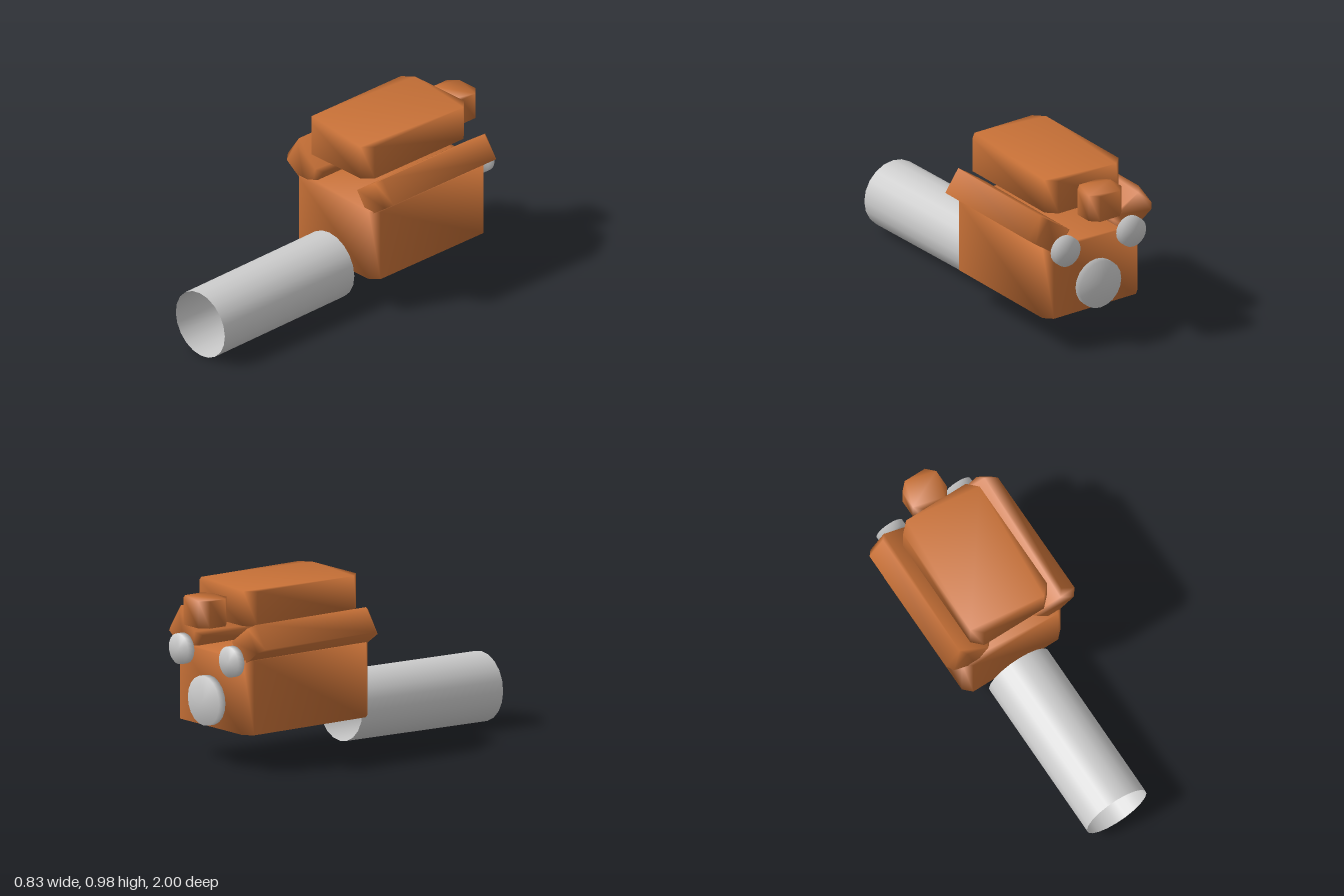
import * as THREE from 'three';
import { mergeVertices } from 'three/addons/utils/BufferGeometryUtils.js';

const paint = new THREE.MeshStandardMaterial({ color: 0xc87137 });
const metal = new THREE.MeshStandardMaterial({ color: 0xcccccc });
const openMetal = new THREE.MeshStandardMaterial({ color: 0xcccccc, side: THREE.DoubleSide });

// Weld all corners so the shading flows softly across every edge
function soften(geometry) {
  geometry.deleteAttribute('normal');
  geometry.deleteAttribute('uv');
  const welded = mergeVertices(geometry, 1e-4);
  welded.computeVertexNormals();
  return welded;
}

// Box centred on the origin with its four upright edges cut off
function chamferedBox(w, h, d, c) {
  const x = w / 2, z = d / 2;
  const outline = new THREE.Shape([
    [x - c, -z], [x, c - z], [x, z - c], [x - c, z],
    [c - x, z], [-x, z - c], [-x, c - z], [c - x, -z],
  ].map(([a, b]) => new THREE.Vector2(a, b)));
  const g = new THREE.ExtrudeGeometry(outline, { depth: h, bevelEnabled: false });
  g.translate(0, 0, -h / 2).rotateX(-Math.PI / 2);
  return soften(g);
}

// Thin round plate facing the back
function disc(radius) {
  return soften(new THREE.CylinderGeometry(radius, radius, 0.043, 20).rotateX(Math.PI / 2));
}

export function createModel() {
  const model = new THREE.Group();
  model.name = 'engine';
  const add = (name, geometry, material, x, y, z) => {
    const mesh = new THREE.Mesh(geometry, material);
    mesh.name = name;
    mesh.position.set(x, y, z);
    model.add(mesh);
    return mesh;
  };

  // Main body and the parts above it
  add('engineBlock', chamferedBox(0.64, 0.413, 0.86, 0.045), paint, 0, 0.418, -0.43);
  add('intakeHousing', chamferedBox(0.496, 0.193, 0.775, 0.055), paint, 0, 0.889, -0.403);
  add('rearIntakeBox', chamferedBox(0.22, 0.15, 0.195, 0.045), paint, 0, 0.861, -0.9025);

  // Slanted valve covers with a pulley behind each
  for (const [side, s] of [['left', 1], ['right', -1]]) {
    const cover = add(side + 'ValveCover', chamferedBox(0.236, 0.151, 0.83, 0.035),
      paint, s * 0.276, 0.695, -0.432);
    cover.rotation.z = s * THREE.MathUtils.degToRad(35);
    add(side + 'Pulley', disc(0.085), metal, s * 0.22, 0.614, -0.892);
  }
  add('crankPulley', disc(0.138), metal, 0, 0.363, -0.892);

  // Open gearbox tube, dipping slightly towards its far end
  const tube = new THREE.CylinderGeometry(0.193, 0.193, 0.97, 20, 1, true).rotateX(Math.PI / 2);
  const gearbox = add('gearboxTube', tube, openMetal, 0, 0.2025, 0.515);
  gearbox.rotation.x = Math.atan2(0.016, 0.97);

  return model;
}
